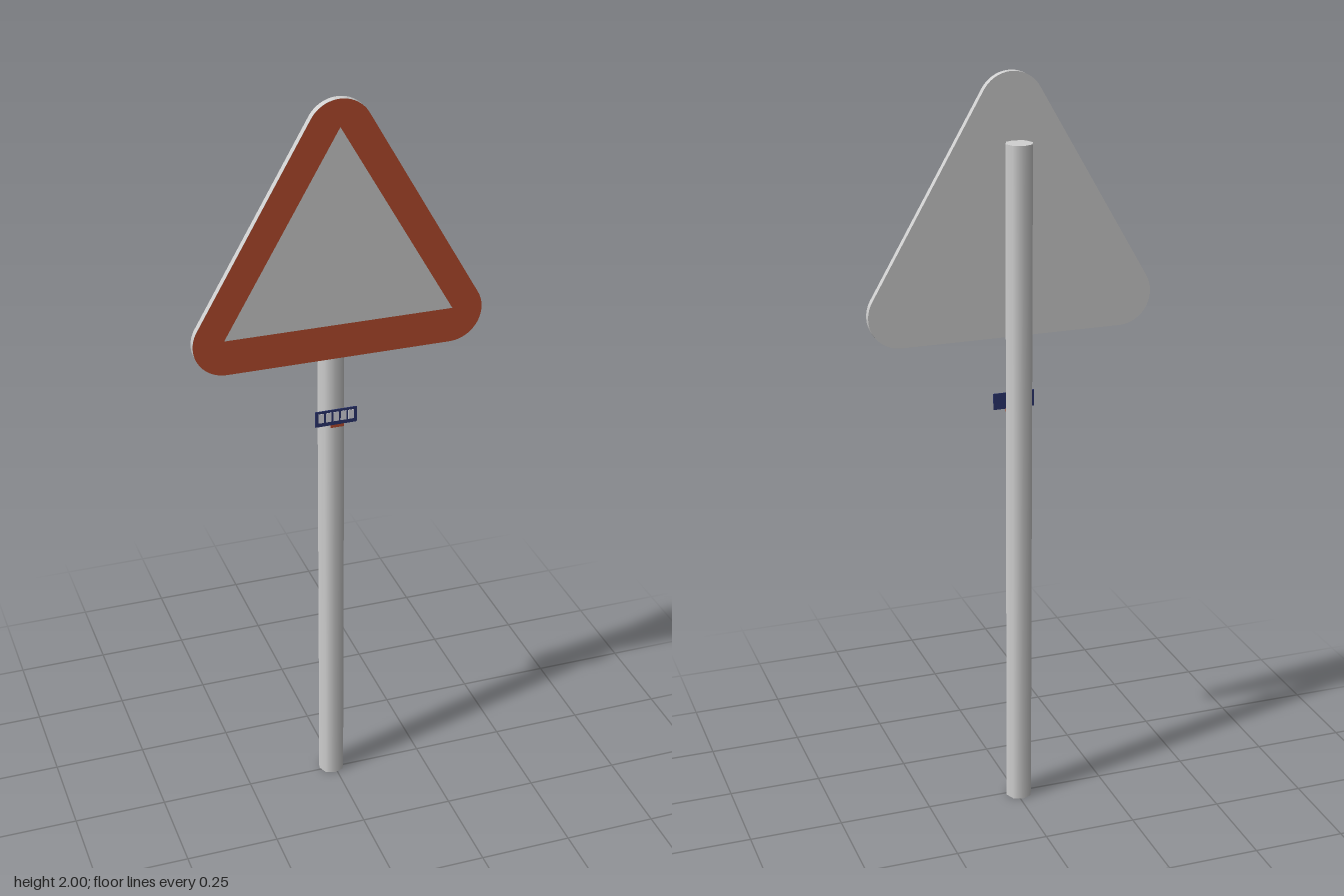
import * as THREE from 'three';
import { toCreasedNormals } from 'three/addons/utils/BufferGeometryUtils.js';

const flat = (name, color) => {
  const m = new THREE.MeshStandardMaterial({ color });
  m.name = name;
  return m;
};

// Triangle with rounded corners, given the corner circles
function roundedTriangle() {
  const r = 0.085, half = 0.295, low = 1.406, high = 1.915, deg = Math.PI / 180;
  const s = new THREE.Shape();
  s.absarc(half, low, r, -90 * deg, 30 * deg, false);
  s.absarc(0, high, r, 30 * deg, 150 * deg, false);
  s.absarc(-half, low, r, 150 * deg, 270 * deg, false);
  s.closePath();
  return s;
}

const innerPoints = () => [
  new THREE.Vector2(-0.3, 1.414),
  new THREE.Vector2(0.3, 1.414),
  new THREE.Vector2(0, 1.93),
];

export function createModel() {
  const group = new THREE.Group();
  const grey = flat('galvanised grey', 0xd0d0d0);
  const red = flat('border red', 0xb84d2e);
  const navy = flat('label navy', 0x2b3570);
  const white = flat('label white', 0xdcdce4);

  const add = (name, geometry, material, x = 0, y = 0, z = 0) => {
    const mesh = new THREE.Mesh(geometry, material);
    mesh.name = name;
    mesh.position.set(x, y, z);
    group.add(mesh);
    return mesh;
  };

  // Eight-sided post, slightly off centre
  add('post', new THREE.CylinderGeometry(0.036, 0.036, 1.828, 8), grey, -0.007, 0.914, -0.009);

  // Sign plate with smooth rounded rim
  const plate = new THREE.ExtrudeGeometry(roundedTriangle(), {
    depth: 0.019, bevelEnabled: false, curveSegments: 12,
  });
  add('signPlate', toCreasedNormals(plate, 0.6), grey, 0, 0, 0.023);

  // Red border painted on the front, leaving the centre panel bare
  const ring = roundedTriangle();
  ring.holes.push(new THREE.Path(innerPoints().reverse()));
  add('redBorder', new THREE.ShapeGeometry(ring, 12), red, 0, 0, 0.043);

  // Small label plate on the front of the post
  const label = new THREE.Group();
  label.name = 'postLabel';
  label.position.set(-0.006, 1.147, 0.029);
  group.add(label);
  const addLabel = (name, w, h, material, x, y, z) => {
    const mesh = new THREE.Mesh(new THREE.BoxGeometry(w, h, 0.002), material);
    mesh.name = name;
    mesh.position.set(x, y, z);
    label.add(mesh);
  };
  addLabel('labelBacking', 0.112, 0.044, navy, 0, 0, 0);
  for (let i = 0; i < 5; i++) {
    addLabel('labelPatch', 0.015, 0.026, white, (i - 2) * 0.02, 0.002, 0.001);
  }
  addLabel('labelRedTab', 0.036, 0.01, red, 0.004, -0.025, 0);

  return group;
}
